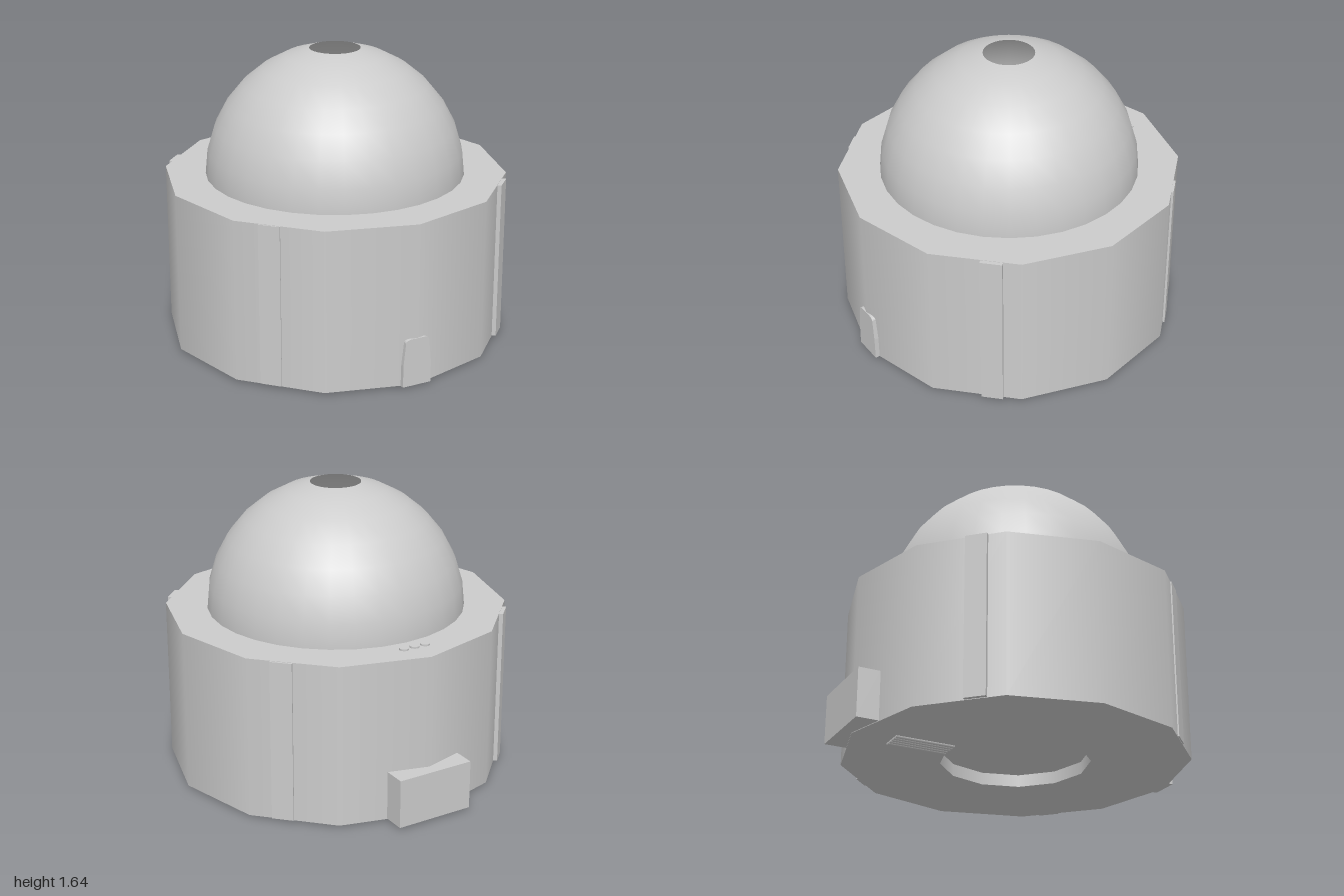
import * as THREE from 'three';

const grey = new THREE.MeshStandardMaterial({ color: 0xcccccc });
const greyDouble = new THREE.MeshStandardMaterial({ color: 0xcccccc, side: THREE.DoubleSide });

const AXIS_Z = 0.03;   // body axis, shifted forward because of the rear box
const R = 0.965;       // body corner radius
const BASE = 0.012;
const TOP = 0.927;
const SIDES = 12;

export function createModel() {
  const group = new THREE.Group();
  const add = (name, geometry, x, y, z, material = grey, parent = group) => {
    const mesh = new THREE.Mesh(geometry, material);
    mesh.name = name;
    mesh.position.set(x, y, z);
    parent.add(mesh);
    return mesh;
  };

  // Twelve-sided body with a shallow round recess underneath
  const body = new THREE.Group();
  body.name = 'body';
  body.position.z = AXIS_Z;
  group.add(body);
  const recessR = 0.415, recessDepth = 0.07;
  add('bodyWall', new THREE.CylinderGeometry(R, R, TOP - BASE, SIDES, 1, true), 0, (TOP + BASE) / 2, 0, grey, body);
  add('bodyTop', new THREE.CircleGeometry(R, SIDES).rotateX(-Math.PI / 2), 0, TOP, 0, grey, body);
  add('bodyBottom', new THREE.RingGeometry(recessR, R, SIDES).rotateX(Math.PI / 2), 0, BASE, 0, grey, body);
  add('recessWall', new THREE.CylinderGeometry(recessR, recessR, recessDepth, SIDES, 1, true), 0, BASE + recessDepth / 2, 0, greyDouble, body);
  add('recessCeiling', new THREE.CircleGeometry(recessR, SIDES).rotateX(Math.PI / 2), 0, BASE + recessDepth, 0, grey, body);

  // Thin dome, open at the crown
  const crown = Math.PI / 16;
  add('dome', new THREE.SphereGeometry(0.73, 32, 7, 0, Math.PI * 2, crown, Math.PI / 2 - crown),
    0, TOP - 0.005, AXIS_Z, greyDouble);

  // Upright strips on the four diagonal faces: side, end, distance out, sideways shift
  const strips = [[1, 1, 0.955, 0.09], [-1, 1, 0.94, 0.05], [1, -1, 0.944, 0.06], [-1, -1, 0.955, 0.09]];
  for (const [sx, sz, out, shift] of strips) {
    const d = (out - 0.03) * Math.SQRT1_2, s = shift * Math.SQRT1_2;
    const strip = add('cornerStrip', new THREE.BoxGeometry(0.12, 0.91, 0.06),
      sx * (d + s), 0.47, AXIS_Z + sz * (d - s));
    strip.rotation.y = Math.atan2(sx, sz);
  }

  // Small tapered door at the front corner
  const door = new THREE.Shape();
  door.moveTo(-0.085, 0);
  door.lineTo(0.085, 0);
  door.lineTo(0.083, 0.13);
  door.lineTo(0.07, 0.255);
  door.quadraticCurveTo(0.065, 0.27, 0.04, 0.272);
  door.lineTo(-0.04, 0.272);
  door.quadraticCurveTo(-0.065, 0.27, -0.07, 0.255);
  door.lineTo(-0.083, 0.13);
  add('frontDoor', new THREE.ExtrudeGeometry(door, { depth: 0.028, bevelEnabled: false, curveSegments: 4 }), 0, BASE, 0.97);

  // Rear box
  add('rearBox', new THREE.BoxGeometry(0.45, 0.277, 0.125), 0, 0.154, -0.9375);

  // Row of buttons on the rim, and thin bars underneath
  for (let i = -1; i <= 1; i++) {
    add('button', new THREE.CylinderGeometry(0.027, 0.027, 0.02, 16), i * 0.066, TOP, -0.775);
  }
  for (let i = -2; i <= 2; i++) {
    add('undersideBar', new THREE.CylinderGeometry(0.012, 0.012, 0.34, 10).rotateX(Math.PI / 2),
      -0.015 + i * 0.028, BASE, -0.545);
  }
  return group;
}
